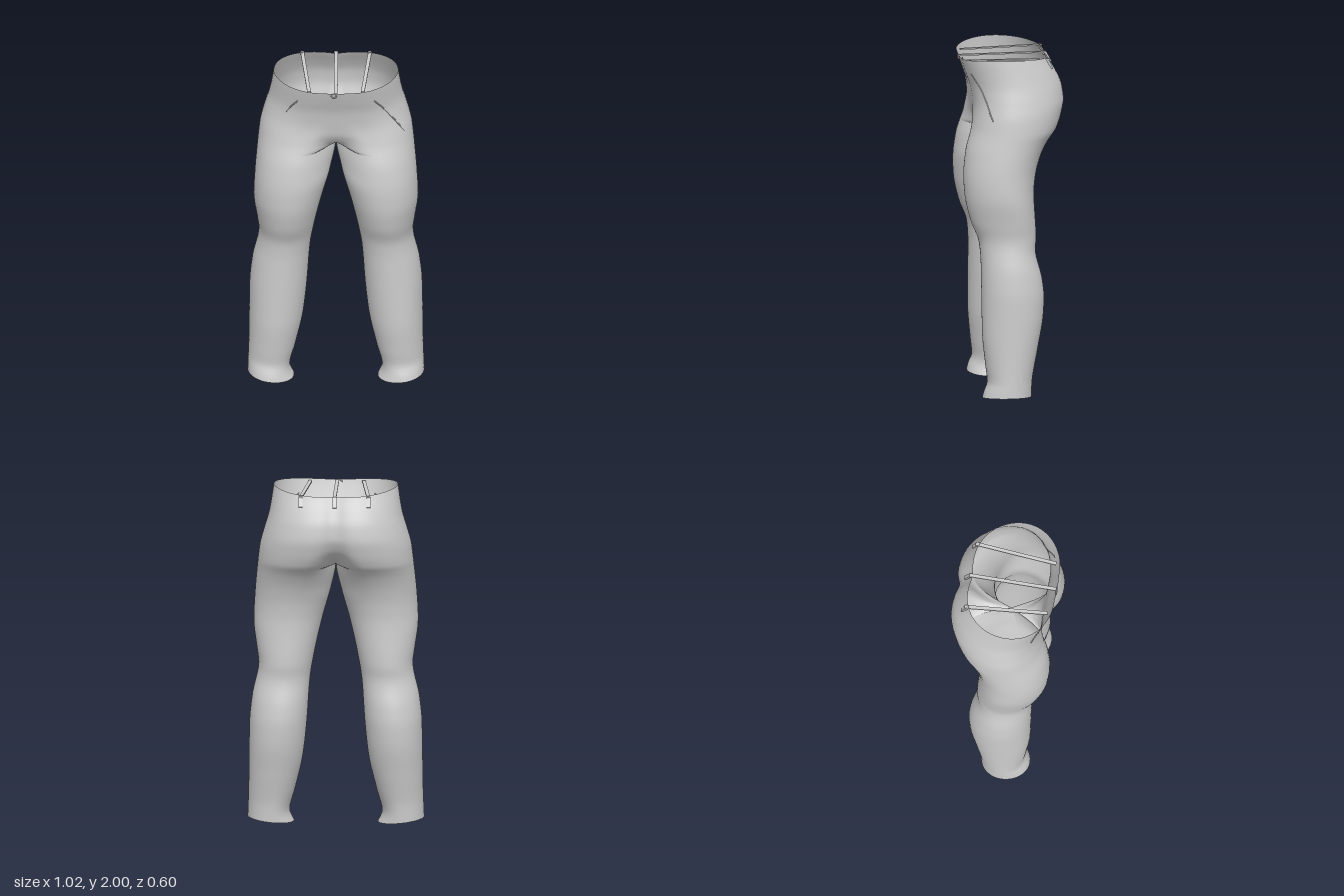
import * as THREE from 'three';
import { ParametricGeometry } from 'three/addons/geometries/ParametricGeometry.js';
import { mergeGeometries, mergeVertices } from 'three/addons/utils/BufferGeometryUtils.js';

const CROTCH = 1.535;
const { smoothstep, lerp } = THREE.MathUtils;

// Smooth profile through [height, value] pairs, without overshoot
function profile(keys) {
  const slope = (i) => (keys[i + 1][1] - keys[i][1]) / (keys[i + 1][0] - keys[i][0]);
  const n = keys.length;
  const tangents = keys.map((_, i) => {
    if (i === 0) return slope(0);
    if (i === n - 1) return slope(n - 2);
    const a = slope(i - 1), b = slope(i);
    return a * b > 0 ? 2 * a * b / (a + b) : 0;
  });
  return (y) => {
    if (y <= keys[0][0]) return keys[0][1];
    if (y >= keys[n - 1][0]) return keys[n - 1][1];
    let i = 0;
    while (y > keys[i + 1][0]) i++;
    const h = keys[i + 1][0] - keys[i][0], t = (y - keys[i][0]) / h, s = 1 - t;
    return keys[i][1] * s * s * (1 + 2 * t) + keys[i + 1][1] * t * t * (3 - 2 * t)
      + h * t * s * (tangents[i] * s - tangents[i + 1] * t);
  };
}

// Left half: outer side, inner leg, and the fullest points at front and back
const outerX = profile([[0, 0.512], [0.2, 0.506], [0.6, 0.5], [0.75, 0.485], [0.95, 0.447], [1.03, 0.457],
  [1.2, 0.477], [1.35, 0.47], [1.5, 0.457], [1.65, 0.44], [1.75, 0.414], [1.85, 0.385], [2, 0.36]]);
const outerZ = profile([[0, 0.05], [0.5, 0.02], [1, 0.03], [1.3, 0.07], [1.6, 0.02], [1.8, 0.01], [2, 0.05]]);
const innerX = profile([[0, 0.242], [0.06, 0.268], [0.2, 0.235], [0.4, 0.19], [0.6, 0.168], [0.85, 0.15],
  [1, 0.125], [1.2, 0.08], [1.4, 0.025], [CROTCH, 0], [2, 0]]);
const frontX = profile([[0, 0.38], [0.6, 0.33], [1, 0.29], [1.3, 0.26], [1.5, 0.23], [1.65, 0.19], [1.8, 0.12], [2, 0.1]]);
const frontZ = profile([[0, 0.2], [0.04, 0.19], [0.1, 0.17], [0.2, 0.18], [0.4, 0.197], [0.8, 0.2], [0.92, 0.21],
  [1.05, 0.258], [1.2, 0.29], [1.3, 0.295], [1.45, 0.28], [1.6, 0.238], [1.7, 0.225], [1.8, 0.238], [1.9, 0.265], [2, 0.293]]);
const backX = profile([[0, 0.38], [0.6, 0.33], [1, 0.29], [1.3, 0.25], [1.5, 0.2], [1.65, 0.14], [1.8, 0.11], [2, 0.1]]);
const backZ = profile([[0, -0.085], [0.1, -0.09], [0.3, -0.125], [0.5, -0.16], [0.6, -0.165], [0.7, -0.155],
  [0.88, -0.117], [0.94, -0.123], [1.2, -0.113], [1.3, -0.123], [1.4, -0.15], [1.5, -0.2], [1.57, -0.255],
  [1.65, -0.287], [1.73, -0.303], [1.8, -0.295], [1.9, -0.26], [2, -0.21]]);
// Ends of each ring: the inner leg seam, splitting into front and back centre seams
const seamFrontZ = profile([[0, 0.06], [0.5, 0.02], [1, 0.05], [1.3, 0.07], [CROTCH, 0.03], [1.545, 0.09],
  [1.565, 0.14], [1.6, 0.185], [1.65, 0.212], [1.7, 0.222], [1.8, 0.24], [1.9, 0.268], [2, 0.297]]);
const seamBackZ = profile([[0, 0.06], [0.5, 0.02], [1, 0.05], [1.3, 0.07], [CROTCH, 0.03], [1.545, -0.05],
  [1.57, -0.13], [1.61, -0.2], [1.67, -0.255], [1.74, -0.28], [1.8, -0.277], [1.9, -0.245], [2, -0.2]]);
const flatten = profile([[1.35, 0], [CROTCH, 0.4], [1.62, 0.9], [2, 1]]);

const bezier = (t, a, b, c, d) => {
  const s = 1 - t;
  return a * s * s * s + 3 * b * s * s * t + 3 * c * s * t * t + d * t * t * t;
};

// Point on the left half; u runs front seam, front, outer side, back, back seam
function shellPoint(u, y, target) {
  const K = 0.5523;
  const back = u > 0.5;
  const t = back ? 1 - u : u;
  const w = flatten(y) * (back ? 0.8 : 1);
  const sx = innerX(y), sz = back ? seamBackZ(y) : seamFrontZ(y);
  const mx = back ? backX(y) : frontX(y), mz = back ? backZ(y) : frontZ(y);
  const ox = outerX(y), oz = outerZ(y);
  let x, z;
  if (t < 0.25) {
    x = bezier(t * 4, sx, sx + K * w * (mx - sx), mx - K * (mx - sx), mx);
    z = bezier(t * 4, sz, sz + K * (1 - w) * (mz - sz), mz, mz);
  } else {
    x = bezier(t * 4 - 1, mx, lerp(mx, ox, K), ox, ox);
    z = bezier(t * 4 - 1, mz, mz, lerp(oz, mz, K), oz);
  }
  // Waist dips at the middle, hem rises at the outer side
  const waist = smoothstep(y, 1.8, 2) * -0.028 * (1 - (x / 0.36) ** 2);
  const hem = (1 - smoothstep(y, 0, 0.2)) * 0.03 * (x - 0.242) / 0.27;
  return target.set(x, y + waist + hem, z);
}

// Rows are packed closely just above the crotch
const rowHeight = (v) => v <= 0.6 ? CROTCH * v / 0.6 : CROTCH + (2 - CROTCH) * ((v - 0.6) / 0.4) ** 1.6;

function trouserGeometry() {
  const halves = [1, -1].map((side) => {
    const g = new ParametricGeometry((u, v, target) => {
      shellPoint(side > 0 ? u : 1 - u, rowHeight(v), target);
      target.x *= side;
    }, 64, 100);
    g.deleteAttribute('uv');
    g.deleteAttribute('normal');
    return g;
  });
  const whole = mergeVertices(mergeGeometries(halves), 1e-5);
  whole.computeVertexNormals();
  return whole;
}

// Point on the front of the left half at a given x and height
function frontPoint(x, y) {
  const p = new THREE.Vector3();
  let lo = 0, hi = 0.5;
  for (let i = 0; i < 25; i++) {
    const mid = (lo + hi) / 2;
    if (shellPoint(mid, y, p).x < x) lo = mid; else hi = mid;
  }
  return p;
}

export function createModel() {
  const group = new THREE.Group();
  const cloth = new THREE.MeshStandardMaterial({ color: 0xcccccc, side: THREE.DoubleSide });
  cloth.name = 'light grey cloth';
  const add = (name, geometry) => {
    const mesh = new THREE.Mesh(geometry, cloth);
    mesh.name = name;
    group.add(mesh);
    return mesh;
  };

  add('trousers', trouserGeometry());

  // Straps across the waist opening, each with a loop at the back
  for (const [name, backEnd, frontEnd, zFront] of [
    ['leftStrap', 0.197, 0.155, 0.265], ['centreStrap', 0, 0, 0.29], ['rightStrap', -0.197, -0.155, 0.265]]) {
    const from = new THREE.Vector3(backEnd, 1.972, -0.215), to = new THREE.Vector3(frontEnd, 1.966, zFront);
    const strap = add(name, new THREE.BoxGeometry(0.021, 0.008, from.distanceTo(to)));
    strap.position.copy(from).add(to).divideScalar(2);
    strap.lookAt(to);
    const loop = add(name + 'Loop', new THREE.BoxGeometry(0.022, 0.065, 0.012));
    loop.position.set(backEnd, 1.945, backEnd ? -0.214 : -0.228);
    loop.rotation.x = 0.5;
  }

  // Front fastening
  const ring = add('waistRing', new THREE.TorusGeometry(0.014, 0.004, 8, 20));
  ring.position.set(-0.012, 1.956, 0.294);

  // Raised pocket seams
  for (const side of [1, -1]) {
    const points = [];
    for (let i = 0; i <= 8; i++) {
      const t = i / 8;
      const p = frontPoint(lerp(0.22, side > 0 ? 0.395 : 0.29, t), lerp(1.91, side > 0 ? 1.65 : 1.8, t));
      p.x *= side;
      points.push(p);
    }
    add(side > 0 ? 'leftPocketSeam' : 'rightPocketSeam',
      new THREE.TubeGeometry(new THREE.CatmullRomCurve3(points), 24, 0.004, 6));
  }
  return group;
}
